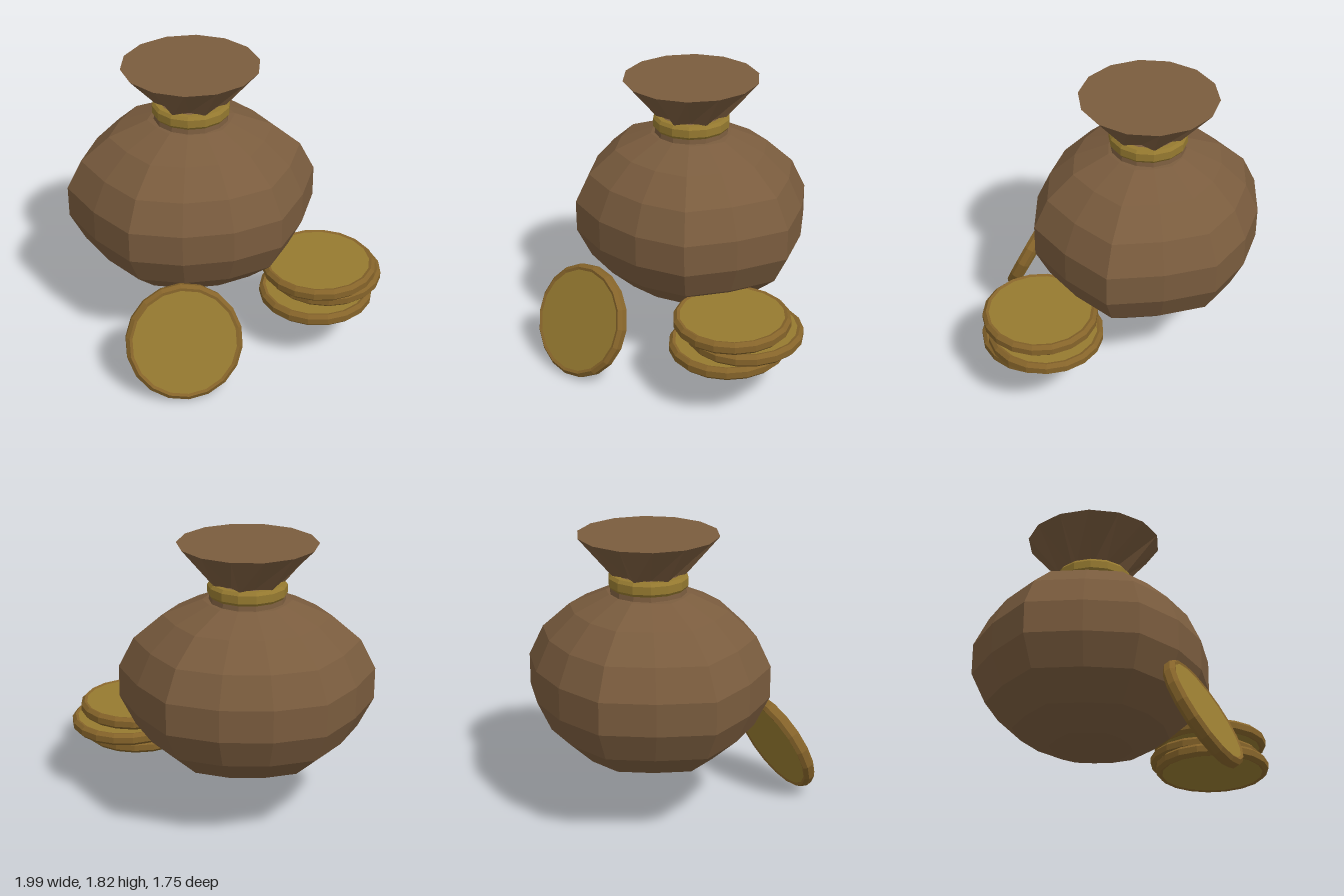
import * as THREE from 'three';

const SIDES = 14;
const COIN_SIDES = 18;

const flat = (color) => new THREE.MeshStandardMaterial({ color, flatShading: true });
const cloth = flat(0x7a5c3e);
const gold = flat(0x967a30);
const darkGold = flat(0x86642a);

function add(parent, name, geometry, material, y = 0) {
  const mesh = new THREE.Mesh(geometry, material);
  mesh.name = name;
  mesh.position.y = y;
  parent.add(mesh);
  return mesh;
}

function lathe(points, sides) {
  return new THREE.LatheGeometry(points.map(([r, y]) => new THREE.Vector2(r, y)), sides);
}

// Squashed sphere whose radius varies with the angle, so the sack bulges unevenly
function sackGeometry() {
  const radii = [0.825, 0.755, 0.78, 0.73];
  const geometry = new THREE.SphereGeometry(1, SIDES, 9);
  const p = geometry.attributes.position;
  for (let i = 0; i < p.count; i++) {
    const x = p.getX(i), z = p.getZ(i);
    const k = (Math.round(Math.atan2(z, x) / (2 * Math.PI / SIDES)) + SIDES) % 7;
    const r = radii[Math.min(k, 7 - k)];
    p.setXYZ(i, x * r, p.getY(i) * 0.59, z * r);
  }
  return geometry;
}

// Flared mouth, gathered into alternating pleats at the bottom
function mouthGeometry() {
  const geometry = new THREE.CylinderGeometry(0.44, 0.22, 0.26, SIDES);
  const p = geometry.attributes.position;
  for (let i = 0; i < p.count; i++) {
    if (p.getY(i) > 0) continue;
    const k = Math.round(Math.atan2(p.getX(i), p.getZ(i)) / (2 * Math.PI / SIDES));
    const s = k % 2 ? 1 : 0.72;
    p.setX(i, p.getX(i) * s);
    p.setZ(i, p.getZ(i) * s);
  }
  return geometry;
}

// Coin lying flat, centred on its own origin
function makeCoin(name) {
  const coin = new THREE.Group();
  coin.name = name;
  add(coin, 'coinFace', new THREE.CylinderGeometry(0.345, 0.345, 0.072, COIN_SIDES), gold);
  add(coin, 'coinRim', lathe([
    [0.325, -0.035], [0.346, -0.042], [0.368, -0.02],
    [0.368, 0.02], [0.346, 0.042], [0.325, 0.035],
  ], COIN_SIDES), darkGold);
  return coin;
}

export function createModel() {
  const model = new THREE.Group();
  model.name = 'coinSack';

  // Sack
  const sack = new THREE.Group();
  sack.name = 'sack';
  sack.position.set(-0.185, 0, -0.165);
  model.add(sack);
  add(sack, 'sackBody', sackGeometry(), cloth, 0.9);
  const neck = add(sack, 'neck', new THREE.CylinderGeometry(0.225, 0.245, 0.14, SIDES), cloth, 1.5);
  const mouth = add(sack, 'mouth', mouthGeometry(), cloth, 1.69);
  const tie = add(sack, 'tieBand', lathe([
    [0.2, 1.485], [0.235, 1.485], [0.25, 1.505],
    [0.25, 1.555], [0.235, 1.575], [0.2, 1.575],
  ], SIDES), gold);
  for (const part of [neck, mouth, tie]) part.rotation.y = Math.PI / 2;

  // Stack of coins beside the sack
  const stack = new THREE.Group();
  stack.name = 'coinStack';
  model.add(stack);
  [[0.553, 0.37, 0.323], [0.627, 0.458, 0.245], [0.572, 0.547, 0.302]].forEach((at, i) => {
    const coin = makeCoin('stackedCoin' + (i + 1));
    coin.position.set(...at);
    coin.rotation.y = i * 0.2;
    stack.add(coin);
  });

  // Coin leaning against the front of the sack
  const leaning = makeCoin('leaningCoin');
  leaning.position.set(-0.367, 0.339, 0.698);
  leaning.rotation.x = 1.145;
  model.add(leaning);

  return model;
}
